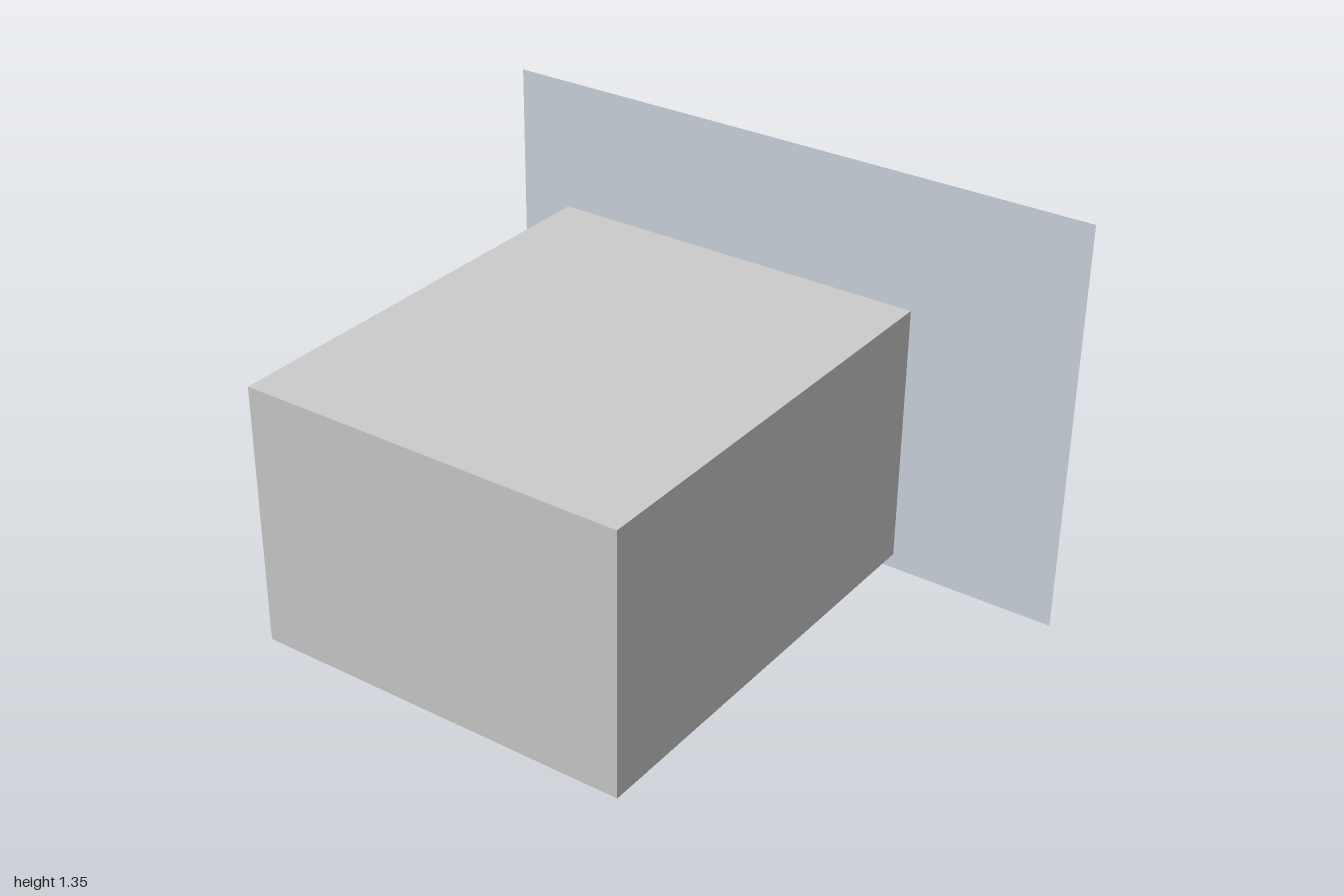
import * as THREE from 'three';

export function createModel() {
  const group = new THREE.Group();
  const grey = new THREE.MeshStandardMaterial({ color: 0xcccccc });
  const dark = new THREE.MeshStandardMaterial({ color: 0x444446 });
  const paleBlue = new THREE.MeshStandardMaterial({ color: 0xced5de, side: THREE.DoubleSide });

  function add(name, geometry, material, x, y, z) {
    const mesh = new THREE.Mesh(geometry, material);
    mesh.name = name;
    mesh.position.set(x, y, z);
    group.add(mesh);
  }

  // Main housing, floating above the base line
  add('housing', new THREE.BoxGeometry(1.206, 0.816, 1.41), grey, 0, 0.674, 0.147);

  // Thin dark panel low on the back, on a slightly larger seat
  add('rearPanelSeat', new THREE.BoxGeometry(1.03, 0.545, 0.012), dark, 0, 0.5385, -0.562);
  add('rearPanel', new THREE.BoxGeometry(1.016, 0.535, 0.04), dark, 0, 0.5335, -0.58);

  // Free-standing flat sheet behind the housing
  add('backSheet', new THREE.PlaneGeometry(2, 1.345), paleBlue, 0, 0.6725, -0.852);

  return group;
}
